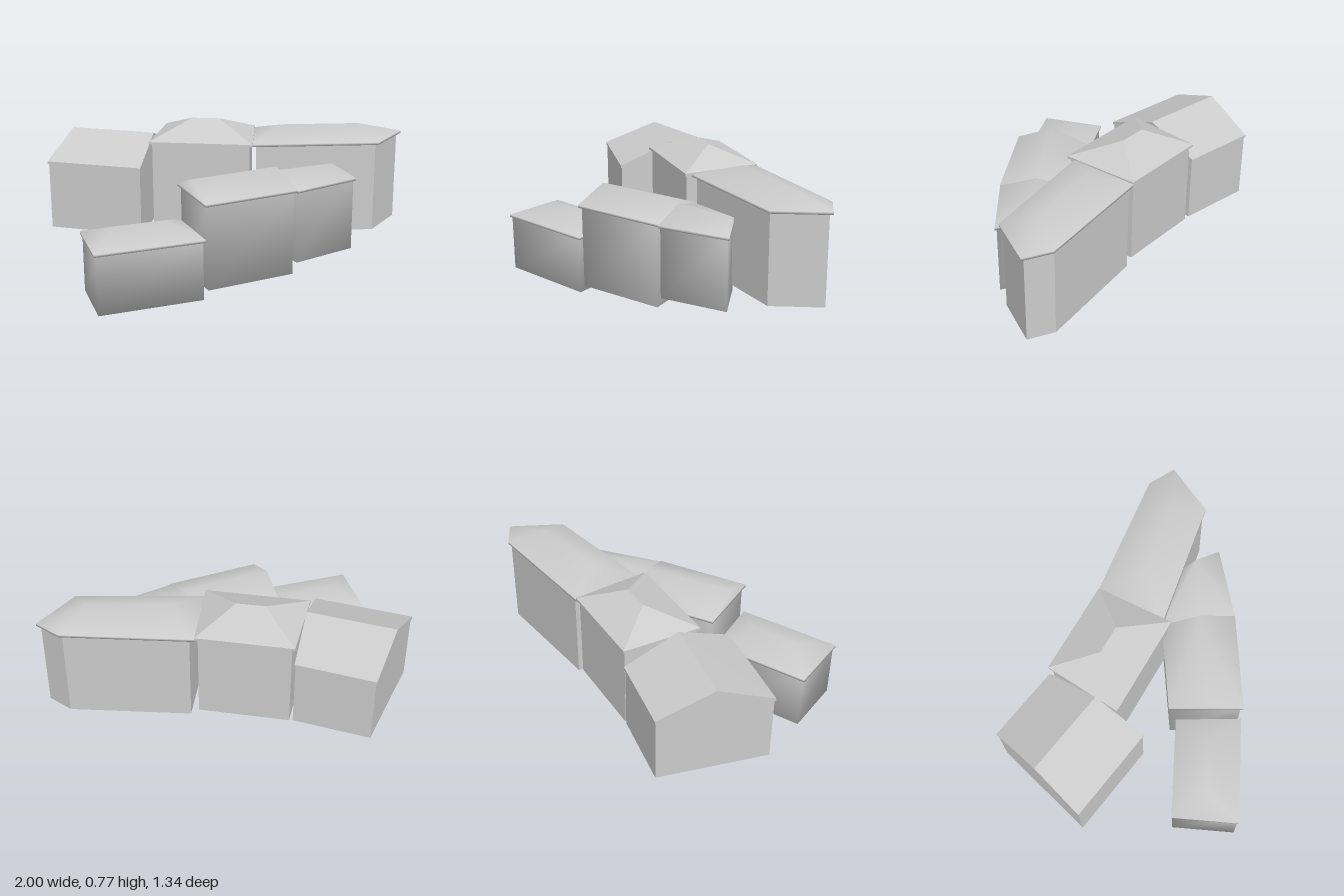
import * as THREE from 'three';

// Rings run front-left, front-right, (right tip), back-right, back-left, as [x, z].
// Each ridge is given by its left and right end; ends on the eave line make a gable.
const HOUSES = [
  { name: 'rearLeftHouse', ring: [[-1, -0.14], [-0.51, 0.075], [-0.31, -0.495], [-0.7, -0.67]],
    base: 0.2, eave: 0.58, top: 0.7, inset: 0.98 },
  { name: 'rearMiddleHouse', ring: [[-0.45, -0.085], [0.1, 0.065], [0.19, -0.36], [-0.31, -0.495]],
    ridge: [[-0.19, -0.24], [-0.04, -0.2]], base: 0.19, eave: 0.68, top: 0.77, inset: 0.94 },
  { name: 'rearRightHouse', ring: [[0.1, 0.02], [0.8, 0.083], [1, -0.15], [0.88, -0.26], [0.19, -0.36]],
    ridge: [[0.3, -0.14], [0.735, -0.1]], base: 0.16, eave: 0.67, top: 0.737, inset: 0.94, smoothRoof: true },
  { name: 'frontLeftHouse', ring: [[-0.785, 0.665], [-0.22, 0.545], [-0.315, 0.2], [-0.845, 0.31]],
    ridge: [[-0.67, 0.45], [-0.415, 0.4]], base: 0, eave: 0.328, top: 0.395, inset: 0.96, smooth: true },
  { name: 'frontMiddleHouse', ring: [[-0.22, 0.545], [0.285, 0.38], [0.13, 0.005], [-0.32, 0.16]],
    base: 0.045, eave: 0.515, top: 0.592, inset: 0.94, smooth: true },
  { name: 'frontRightHouse', ring: [[0.285, 0.38], [0.645, 0.205], [0.43, -0.01], [0.13, 0.01]],
    base: 0.105, eave: 0.51, top: 0.567, inset: 0.95, smooth: true },
];

const FASCIA = 0.014;

function mesh(name, points, faces, smooth) {
  const geometry = new THREE.BufferGeometry();
  geometry.setAttribute('position', new THREE.Float32BufferAttribute(points.flat(), 3));
  geometry.setIndex(faces.flat());
  geometry.computeVertexNormals();
  const material = new THREE.MeshStandardMaterial({ color: 0xcccccc, flatShading: !smooth });
  const m = new THREE.Mesh(geometry, material);
  m.name = name;
  return m;
}

// Upright sides between a lower and an upper ring, plus the floor
function prism(ring, low, high) {
  const n = ring.length;
  const points = [low, high].flatMap(y => ring.map(([x, z]) => [x, y, z]));
  const faces = [];
  for (let i = 0; i < n; i++) {
    const j = (i + 1) % n;
    faces.push([i, j, n + j], [i, n + j, n + i]);
    if (i > 0 && i < n - 1) faces.push([0, i + 1, i]);
  }
  return { points, faces };
}

function walls({ ring, base, eave, inset, smooth }) {
  const cx = ring.reduce((s, p) => s + p[0], 0) / ring.length;
  const cz = ring.reduce((s, p) => s + p[1], 0) / ring.length;
  const inner = ring.map(([x, z]) => [cx + (x - cx) * inset, cz + (z - cz) * inset]);
  const { points, faces } = prism(inner, base, eave - FASCIA / 2);
  return mesh('walls', points, faces, smooth);
}

function roof({ ring, ridge, eave, top, smooth, smoothRoof }) {
  const n = ring.length;
  const mid = (a, b) => [(a[0] + b[0]) / 2, (a[1] + b[1]) / 2];
  const ends = ridge ?? [mid(ring[0], ring[n - 1]), mid(ring[1], ring[n - 2])];
  const { points, faces } = prism(ring, eave - FASCIA, eave);
  ends.forEach(([x, z]) => points.push([x, top, z]));
  const left = 2 * n, right = 2 * n + 1;
  const end = i => (i === 0 || i === n - 1 ? left : right);
  // Hips and gables are single triangles, the long slopes are split quads
  for (let i = 0; i < n; i++) {
    const j = (i + 1) % n, a = n + i, b = n + j;
    if (end(i) === end(j)) faces.push([a, b, end(i)]);
    else if (end(i) === left) faces.push([a, b, right], [a, right, left]);
    else faces.push([a, b, right], [b, left, right]);
  }
  return mesh('roof', points, faces, smooth || smoothRoof);
}

export function createModel() {
  const village = new THREE.Group();
  village.name = 'houseRows';
  for (const spec of HOUSES) {
    const house = new THREE.Group();
    house.name = spec.name;
    house.add(walls(spec), roof(spec));
    village.add(house);
  }
  return village;
}
